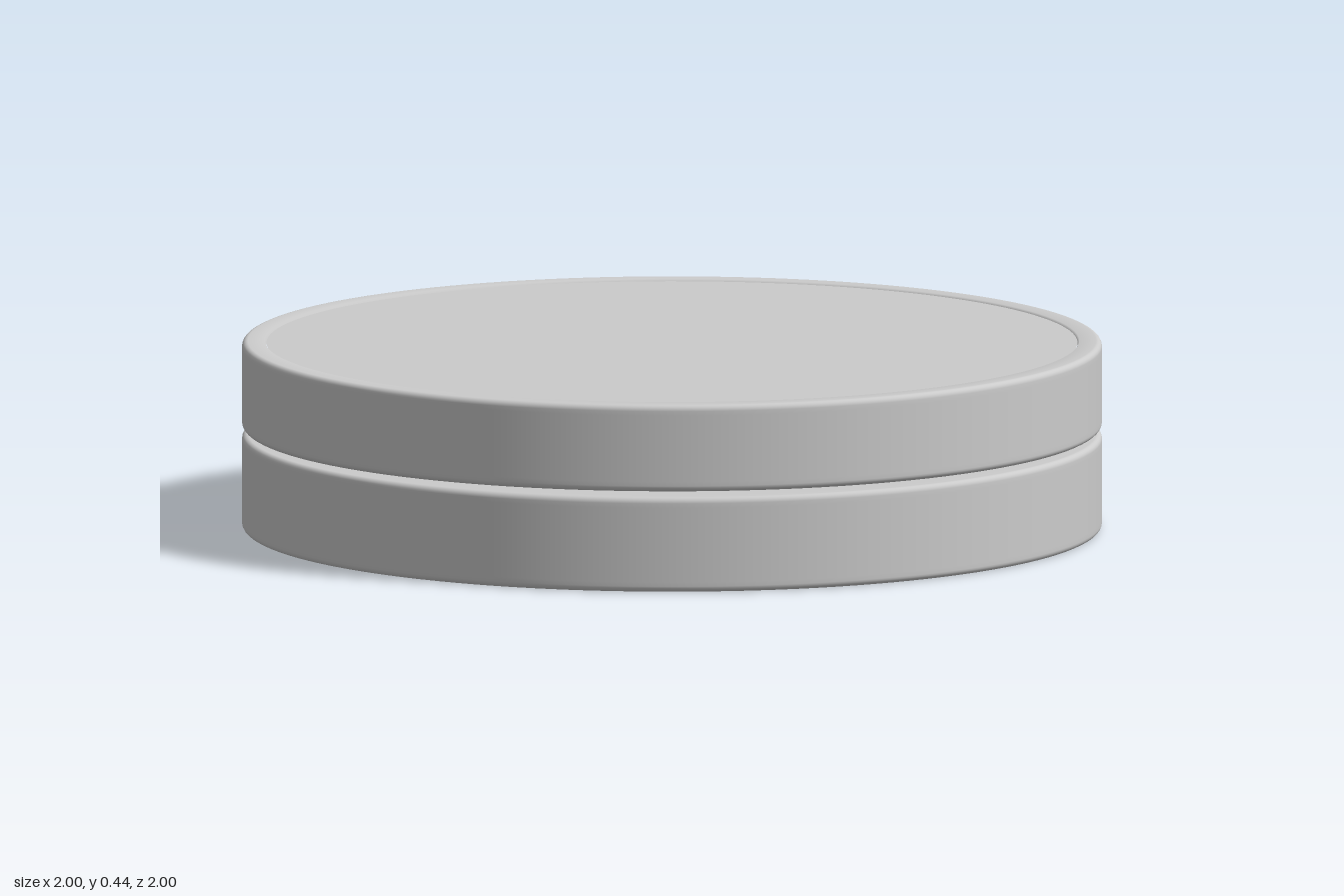
import * as THREE from 'three';

const SEGMENTS = 128;
const RADIUS = 1;

// Rounded corner between two flat sides, as a short run of profile points
function corner(cx, cy, r, from, to, steps = 5) {
  return Array.from({ length: steps + 1 }, (_, i) => {
    const a = from + ((to - from) * i) / steps;
    return new THREE.Vector2(cx + r * Math.cos(a), cy + r * Math.sin(a));
  });
}

function turned(name, points, material) {
  const mesh = new THREE.Mesh(new THREE.LatheGeometry(points, SEGMENTS), material);
  mesh.name = name;
  return mesh;
}

// Solid disc body from y0 to y1 with softened edges; support points keep the flats flat
function discProfile(y0, y1, r) {
  const c = RADIUS - r;
  return [
    new THREE.Vector2(0, y0),
    new THREE.Vector2(c - 0.02, y0),
    ...corner(c, y0 + r, r, -Math.PI / 2, 0),
    new THREE.Vector2(RADIUS, y0 + r + 0.01),
    new THREE.Vector2(RADIUS, y1 - r - 0.01),
    ...corner(c, y1 - r, r, 0, Math.PI / 2),
    new THREE.Vector2(c - 0.02, y1),
  ];
}

export function createModel() {
  const group = new THREE.Group();
  const material = new THREE.MeshStandardMaterial({ color: 0xcccccc });

  // Lower half: closed disc
  const base = discProfile(0, 0.223, 0.014);
  base.push(new THREE.Vector2(0, 0.223));
  group.add(turned('base', base, material));

  // Upper half: rounded rim that ends in a small step around the inlay
  const inner = 0.943;
  const lid = discProfile(0.236, 0.44, 0.014).slice(0, -1);
  lid.push(new THREE.Vector2(inner + 0.004, 0.44), new THREE.Vector2(inner, 0.432));
  group.add(turned('lid', lid, material));

  // Flat top panel set inside the rim
  const panel = new THREE.Mesh(new THREE.CircleGeometry(inner, SEGMENTS), material);
  panel.name = 'topPanel';
  panel.rotation.x = -Math.PI / 2;
  panel.position.y = 0.435;
  group.add(panel);

  return group;
}
